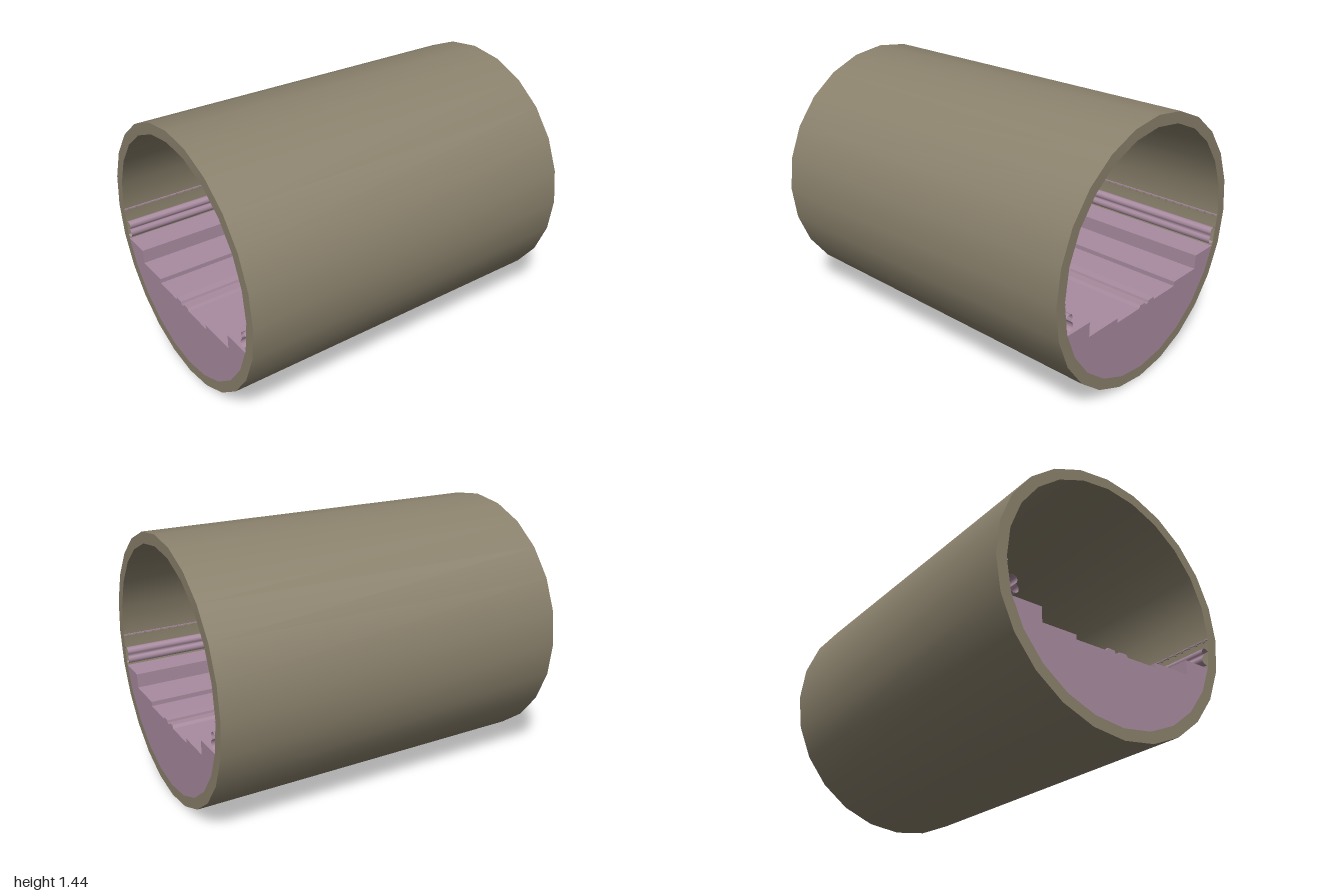
import * as THREE from 'three';
import { toCreasedNormals } from 'three/addons/utils/BufferGeometryUtils.js';

const R = 0.72, INNER = 0.66, SIDES = 24, LENGTH = 2;

// Open sheet: a 2D cross-section carried along z
function ribbon(points, length, z = 0) {
  const n = points.length;
  const geo = new THREE.PlaneGeometry(1, 1, n - 1, 1);
  const pos = geo.attributes.position;
  for (let row = 0; row < 2; row++) {
    points.forEach(([x, y], i) => pos.setXYZ(row * n + i, x, y, z + (row - 0.5) * length));
  }
  geo.computeVertexNormals();
  return geo;
}

function addMesh(parent, name, geo, mat) {
  const mesh = new THREE.Mesh(geo, mat);
  mesh.name = name;
  parent.add(mesh);
  return mesh;
}

export function createModel() {
  const group = new THREE.Group();
  group.name = 'tunnelSection';
  const concrete = new THREE.MeshStandardMaterial({ name: 'olive concrete', color: 0x8b826d });
  const mauve = new THREE.MeshStandardMaterial({ name: 'mauve floor', color: 0xa98ca0 });
  const sheet = new THREE.MeshStandardMaterial({ name: 'mauve sheet', color: 0xa98ca0, side: THREE.DoubleSide });

  // Tunnel wall: thick 24-sided tube lying along z
  const wall = [[R, -1], [R, 1], [INNER, 1], [INNER, -1], [R, -1]].map(([x, y]) => new THREE.Vector2(x, y));
  const tube = toCreasedNormals(new THREE.LatheGeometry(wall, SIDES), 0.6);
  tube.rotateX(Math.PI / 2).translate(0, R, 0);
  addMesh(group, 'tunnelWall', tube, concrete);

  // Floor: side walkways, steps and two low rails, resting in the lower arc
  const floor = new THREE.Shape();
  floor.moveTo(-0.632, 0.535);
  for (let deg = 210; deg <= 330; deg += 15) {
    const a = THREE.MathUtils.degToRad(deg);
    floor.lineTo(INNER * Math.cos(a), R + INNER * Math.sin(a));
  }
  [
    [0.632, 0.535], [0.467, 0.535], [0.467, 0.455], [0.24, 0.455], [0.24, 0.43],
    [0.055, 0.43], [0.045, 0.445], [0.002, 0.443], [0, 0.43], [-0.024, 0.43],
    [-0.028, 0.443], [-0.07, 0.446], [-0.08, 0.43], [-0.265, 0.43],
    [-0.265, 0.455], [-0.465, 0.455], [-0.465, 0.535],
  ].forEach(([x, y]) => floor.lineTo(x, y));
  floor.closePath();
  const floorGeo = new THREE.ExtrudeGeometry(floor, { depth: LENGTH, bevelEnabled: false });
  addMesh(group, 'floor', floorGeo.translate(0, 0, -LENGTH / 2), mauve);

  // Wall fittings, repeated on both sides
  const pipes = [
    [0.652, 0.632], [0.638, 0.643], [0.622, 0.646], [0.607, 0.639], [0.601, 0.625], [0.604, 0.612],
    [0.611, 0.603], [0.601, 0.594], [0.595, 0.58], [0.598, 0.565], [0.609, 0.555], [0.626, 0.552], [0.639, 0.558],
  ];
  for (const s of [-1, 1]) {
    const side = new THREE.Group();
    side.name = s > 0 ? 'leftFittings' : 'rightFittings';
    group.add(side);
    const mirror = (pts) => pts.map(([x, y]) => [s * x, y]);

    // Pair of hollow half pipes with a collar at mid length
    addMesh(side, 'pipes', ribbon(mirror(pipes), LENGTH), sheet);
    const collar = pipes.map(([x, y]) => [0.63 + (x - 0.63) * 1.08, 0.6 + (y - 0.6) * 1.08]);
    addMesh(side, 'pipeCollar', ribbon(mirror(collar), 0.02), sheet);

    // Thin cable with small clips
    const cable = new THREE.BoxGeometry(0.006, 0.008, LENGTH);
    addMesh(side, 'cable', cable, mauve).position.set(s * 0.655, 0.71, 0);
    for (let i = 0; i < 40; i++) {
      const clip = new THREE.BoxGeometry(0.008, 0.014, 0.01);
      addMesh(side, 'cableClip', clip, concrete).position.set(s * 0.654, 0.705, -0.975 + i * 0.05);
    }

    // Slanted plate leaning on the wall at mid length
    const plate = addMesh(side, 'wallPlate', new THREE.BoxGeometry(0.008, 0.132, 0.2), concrete);
    plate.position.set(s * 0.637, 0.84, 0);
    plate.rotation.z = s * 0.17;
  }
  return group;
}
